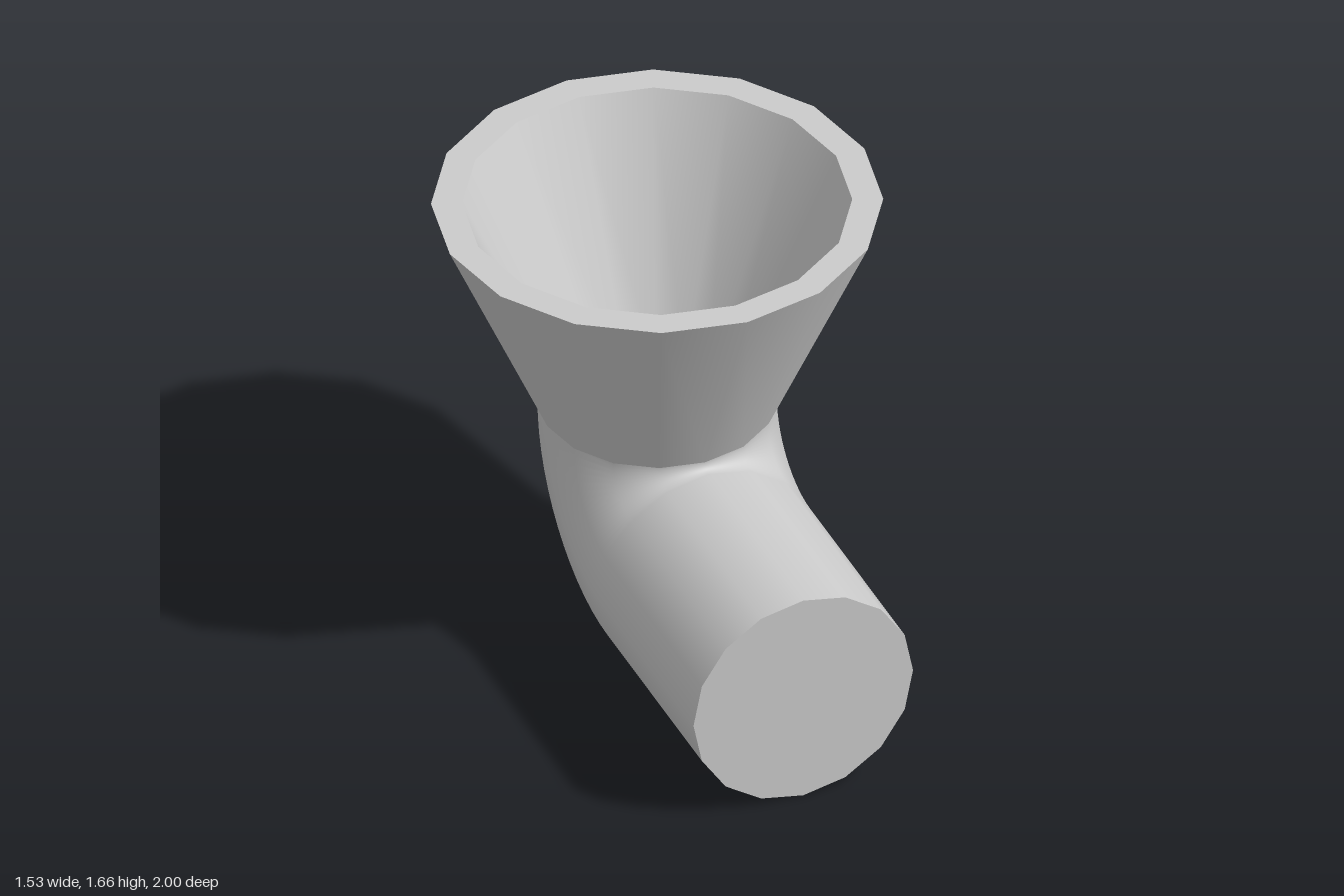
import * as THREE from 'three';

const SIDES = 16;
const R = 0.405;        // pipe radius
const BEND = 0.435;     // bend centreline radius
const AXIS_Z = -0.235;  // funnel axis
const BEND_Z = AXIS_Z + BEND;
const NECK_Y = R + BEND;
const TOP_Y = 1.66;

export function createModel() {
  const model = new THREE.Group();
  const material = new THREE.MeshStandardMaterial({ color: 0xcccccc });

  const add = (name, geometry, x = 0, y = 0, z = 0) => {
    const mesh = new THREE.Mesh(geometry, material);
    mesh.name = name;
    mesh.position.set(x, y, z);
    model.add(mesh);
    return mesh;
  };

  // Straight horizontal pipe with a flat front cap
  const length = 1 - BEND_Z;
  const pipe = new THREE.CylinderGeometry(R, R, length, SIDES, 1, true).rotateX(Math.PI / 2);
  add('straightPipe', pipe, 0, R, BEND_Z + length / 2);
  add('pipeEndCap', new THREE.CircleGeometry(R, SIDES), 0, R, 1);

  // Quarter-turn elbow, from the funnel neck down to the pipe
  const elbow = new THREE.TorusGeometry(BEND, R, SIDES, 14, Math.PI / 2);
  elbow.applyMatrix4(new THREE.Matrix4().makeBasis(
    new THREE.Vector3(0, 0, -1), new THREE.Vector3(0, -1, 0), new THREE.Vector3(-1, 0, 0)));
  add('elbow', elbow, 0, NECK_Y, BEND_Z);

  // Funnel: each profile span is its own lathe, so the rim edges stay sharp
  const profile = [[R, NECK_Y], [0.765, TOP_Y], [0.66, TOP_Y], [0.25, 0.8], [0, 0.8]]
    .map(([x, y]) => new THREE.Vector2(x, y));
  ['funnelOuterWall', 'funnelRim', 'funnelInnerWall', 'funnelFloor'].forEach((name, i) =>
    add(name, new THREE.LatheGeometry(profile.slice(i, i + 2), SIDES), 0, 0, AXIS_Z));

  return model;
}
